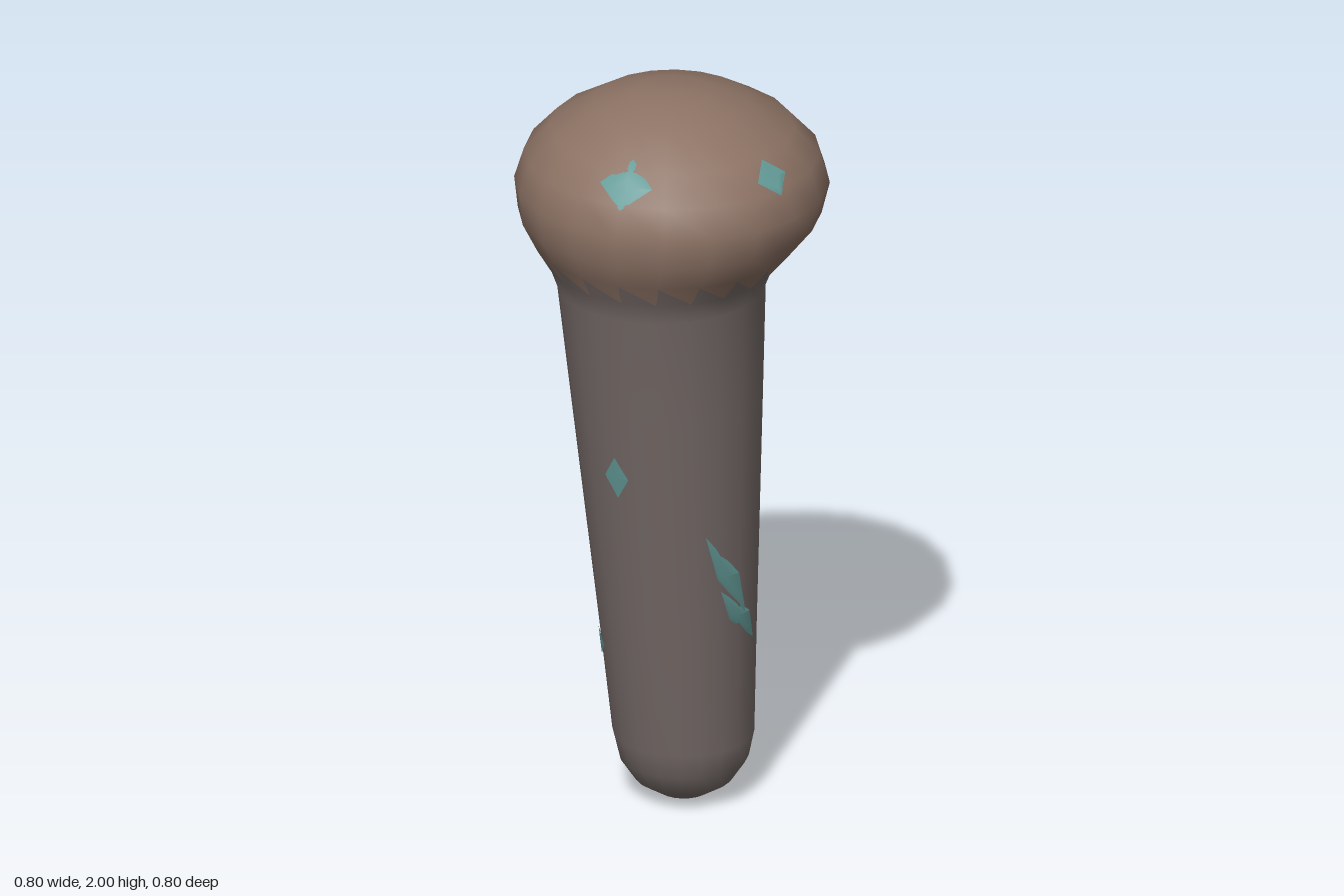
import * as THREE from 'three';
import { mergeVertices } from 'three/addons/utils/BufferGeometryUtils.js';

// [radius, height] from the rounded tip up to the crown
const PROFILE = [
  [0, 0], [0.065, 0.012], [0.125, 0.05], [0.165, 0.11], [0.18, 0.18], [0.2, 0.5],
  [0.222, 0.83], [0.244, 1.16], [0.265, 1.48], [0.288, 1.54], [0.335, 1.6], [0.385, 1.67],
  [0.4, 1.75], [0.375, 1.83], [0.31, 1.9], [0.2, 1.965], [0.1, 1.993], [0, 2],
];
const NECK = 1.57;

// Leaning centre line: the shaft slants, the head sits over the origin
function axis(y) {
  const t = THREE.MathUtils.clamp(y, 0.15, 1.5) - 0.15;
  const k = 1 - THREE.MathUtils.smoothstep(y, 1.5, 1.74);
  return [(0.11 - 0.115 * t) * k, (-0.05 + 0.037 * t) * k];
}

function radiusAt(y) {
  const i = Math.max(1, PROFILE.findIndex((p) => p[1] >= y));
  const [r0, y0] = PROFILE[i - 1];
  const [r1, y1] = PROFILE[i];
  return r0 + ((r1 - r0) * (y - y0)) / (y1 - y0);
}

// Whole body as one smooth skin, so the neck shades without a seam
function bodySkin() {
  let g = new THREE.LatheGeometry(PROFILE.map(([r, y]) => new THREE.Vector2(r, y)), 20);
  g.deleteAttribute('uv');
  g.deleteAttribute('normal');
  const p = g.attributes.position;
  for (let i = 0; i < p.count; i++) {
    const [cx, cz] = axis(p.getY(i));
    p.setX(i, p.getX(i) + cx);
    p.setZ(i, p.getZ(i) + cz);
  }
  g = mergeVertices(g, 1e-5);
  g.computeVertexNormals();
  return g;
}

// Faces of the skin whose middle height passes the test
function slice(skin, test) {
  const g = new THREE.BufferGeometry();
  g.setAttribute('position', skin.attributes.position);
  g.setAttribute('normal', skin.attributes.normal);
  const idx = skin.index.array;
  const keep = [];
  for (let i = 0; i < idx.length; i += 3) {
    const tri = [idx[i], idx[i + 1], idx[i + 2]];
    const y = tri.reduce((s, v) => s + skin.attributes.position.getY(v), 0) / 3;
    if (test(y)) keep.push(...tri);
  }
  g.setIndex(keep);
  return g.toNonIndexed();
}

// Diamond patch wrapped closely on the skin
function spot(angle, y, width, height, slant = 0) {
  const g = new THREE.RingGeometry(0.001, 1, 4, 4);
  const p = g.attributes.position;
  const r0 = radiusAt(y);
  for (let i = 0; i < p.count; i++) {
    const u = p.getX(i);
    const v = p.getY(i);
    const h = y + (v * height) / 2;
    const a = angle + (u * width + slant * v) / (2 * r0);
    const r = radiusAt(h) + 0.003;
    const [cx, cz] = axis(h);
    p.setXYZ(i, cx + r * Math.sin(a), h, cz + r * Math.cos(a));
  }
  g.computeVertexNormals();
  return g;
}

export function createModel() {
  const group = new THREE.Group();
  const add = (name, geometry, color) => {
    const mesh = new THREE.Mesh(geometry, new THREE.MeshStandardMaterial({ color }));
    mesh.name = name;
    group.add(mesh);
  };

  const skin = bodySkin();
  add('shaft', slice(skin, (y) => y < NECK), 0x776c69);
  add('head', slice(skin, (y) => y >= NECK), 0x8c7264);

  // Teal spots: angle from the front towards +x, height, width, height span, slant
  const spots = [
    [-0.08, 1.86, 0.1, 0.08], [-1.25, 1.87, 0.14, 0.1], [1.75, 1.8, 0.09, 0.04],
    [1.95, 1.5, 0.06, 0.04], [1.1, 1.09, 0.12, 0.12], [-1.5, 1.0, 0.07, 0.12],
    [-0.2, 0.7, 0.07, 0.26, -0.13], [0, 0.57, 0.08, 0.18, -0.13],
    [1.4, 0.61, 0.06, 0.24], [1.85, 0.58, 0.05, 0.3], [-2.35, 0.45, 0.09, 0.08],
  ];
  spots.forEach((s, i) => add(`spot${i + 1}`, spot(...s), 0x639a97));
  return group;
}
